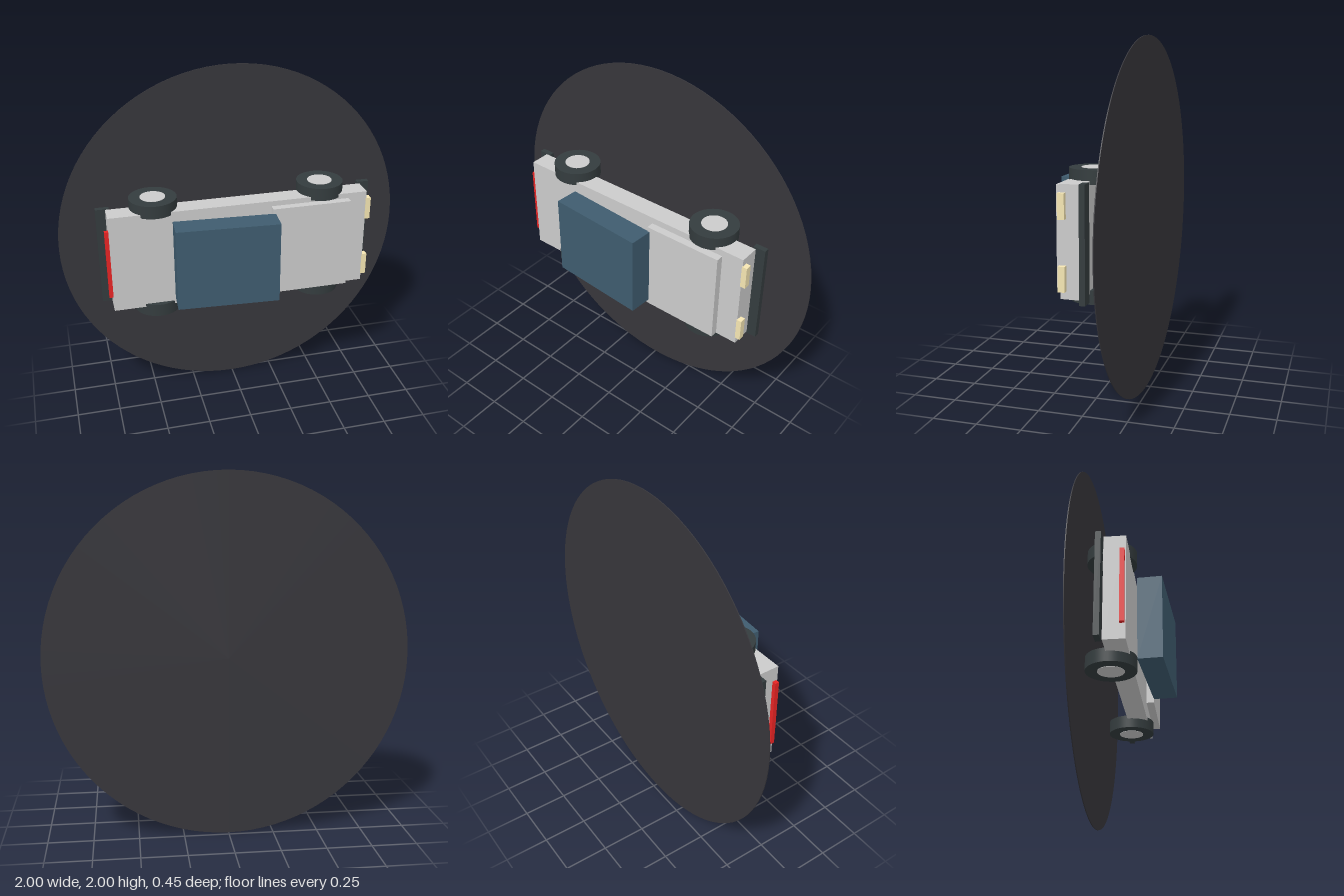
import * as THREE from 'three';

const mat = (color) => new THREE.MeshStandardMaterial({ color });

export function createModel() {
  const model = new THREE.Group();
  const grey = mat(0xcccccc);
  const dark = mat(0x343c3e);
  const glass = mat(0x3f5c6f);
  const lamp = mat(0xf5e6b3);
  const red = mat(0xe82424);
  const ground = mat(0x37363b);

  const add = (name, geometry, material, x, y, z) => {
    const mesh = new THREE.Mesh(geometry, material);
    mesh.name = name;
    mesh.position.set(x, y, z);
    model.add(mesh);
    return mesh;
  };
  const box = (name, material, [w, h, d], [x, y, z]) =>
    add(name, new THREE.BoxGeometry(w, h, d), material, x, y, z);

  // Upright round base plate; the car's roof points to +z and its nose to +x
  add('basePlate', new THREE.CylinderGeometry(1, 1, 0.005, 96), ground, 0, 1, -0.224)
    .rotation.x = Math.PI / 2;

  // Body, raised bonnet panel and tilted cabin
  box('body', grey, [1.464, 0.574, 0.115], [-0.003, 1, -0.025]);
  box('bonnet', grey, [0.45, 0.53, 0.043], [0.389, 1, 0.07]);
  box('cabin', glass, [0.57, 0.476, 0.134], [-0.11, 1, 0.138]).rotation.y = -0.066;

  // Bumpers
  box('frontBumper', dark, [0.07, 0.594, 0.03], [0.749, 1, -0.099]);
  box('rearBumper', dark, [0.075, 0.574, 0.03], [-0.751, 1, -0.103]);

  // Lights
  box('tailLight', red, [0.03, 0.406, 0.024], [-0.742, 1, 0.014]);
  for (const side of [-1, 1]) {
    box('headlight', lamp, [0.03, 0.13, 0.036], [0.741, 1 + side * 0.181, 0.018]);

    // Tyres with hubs just proud of their faces
    for (const x of [-0.476, 0.479]) {
      add('tyre', new THREE.CylinderGeometry(0.132, 0.132, 0.073, 48), dark, x, 1 + side * 0.305, -0.071);
      add('hub', new THREE.CylinderGeometry(0.07, 0.07, 0.077, 32), grey, x, 1 + side * 0.305, -0.071);
    }
  }
  return model;
}
